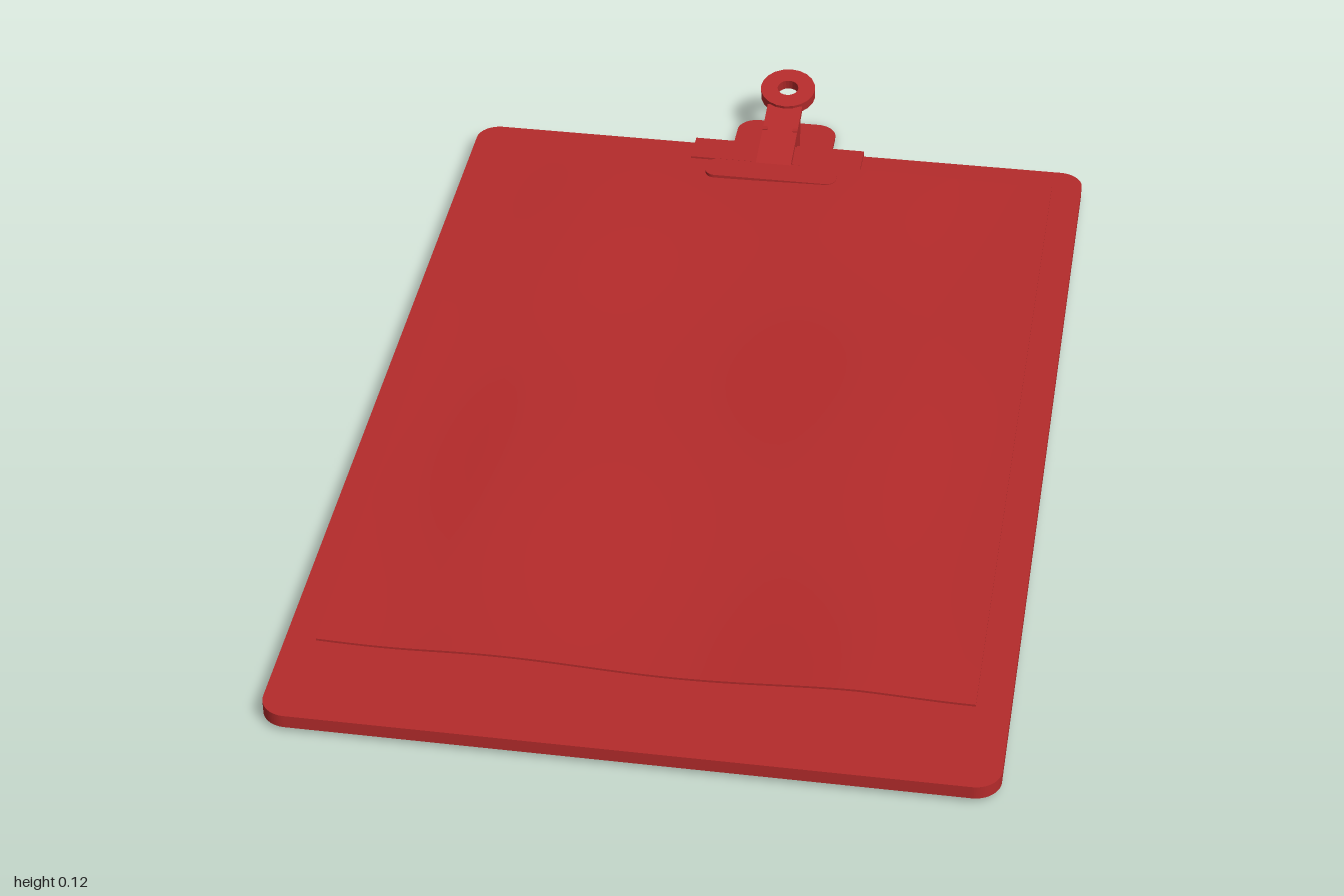
import * as THREE from 'three';

const red = new THREE.MeshStandardMaterial({ color: 0xb52b2b, side: THREE.DoubleSide });

// Rounded rectangle in plan; v runs along -z once the slab is laid flat
function roundedRect(x0, x1, v0, v1, r) {
  const s = new THREE.Shape();
  s.moveTo(x0 + r, v0);
  s.lineTo(x1 - r, v0);
  s.absarc(x1 - r, v0 + r, r, -Math.PI / 2, 0, false);
  s.lineTo(x1, v1 - r);
  s.absarc(x1 - r, v1 - r, r, 0, Math.PI / 2, false);
  s.lineTo(x0 + r, v1);
  s.absarc(x0 + r, v1 - r, r, Math.PI / 2, Math.PI, false);
  s.lineTo(x0, v0 + r);
  s.absarc(x0 + r, v0 + r, r, Math.PI, Math.PI * 1.5, false);
  return s;
}

// Extrude a plan shape upward from height y
function slab(shape, y, depth) {
  const g = new THREE.ExtrudeGeometry(shape, { depth, bevelEnabled: false, curveSegments: 10 });
  return g.rotateX(-Math.PI / 2).translate(0, y, 0);
}

function add(parent, name, geometry) {
  const mesh = new THREE.Mesh(geometry, red);
  mesh.name = name;
  parent.add(mesh);
  return mesh;
}

function box(parent, name, x, y0, y1, z0, z1) {
  const g = new THREE.BoxGeometry(2 * x, y1 - y0, z1 - z0);
  return add(parent, name, g.translate(0, (y0 + y1) / 2, (z0 + z1) / 2));
}

// Thin sheet with soft ripples that fade out at the side edges
function paperGeometry() {
  const g = new THREE.BoxGeometry(1.106, 0.004, 1.56, 40, 1, 48).translate(0, 0, 0.04);
  const p = g.attributes.position;
  for (let i = 0; i < p.count; i++) {
    const x = p.getX(i), z = p.getZ(i);
    const fade = Math.min(1, (0.553 - Math.abs(x)) * 5);
    const along = 0.45 + 0.55 * THREE.MathUtils.smoothstep(z, -0.7, 0.7);
    const wave = 0.0055 * Math.cos((x + 0.25) * 10.1 + 1.2 * (0.82 - z)) * along
      + 0.0025 * Math.sin(z * 7 + x * 3);
    p.setY(i, p.getY(i) + 0.049 + fade * wave);
  }
  g.computeVertexNormals();
  return g;
}

export function createModel() {
  const model = new THREE.Group();
  model.name = 'clipboard';

  add(model, 'board', slab(roundedRect(-0.61, 0.61, -1, 0.822, 0.045), 0.01, 0.024));
  add(model, 'paper', paperGeometry());

  // Bracket wrapped round the top edge of the board
  const clip = new THREE.Group();
  clip.name = 'clip';
  model.add(clip);
  box(clip, 'bracketBase', 0.17, 0.002, 0.01, -0.83, -0.61);
  box(clip, 'bracketBack', 0.17, 0.002, 0.041, -0.83, -0.822);
  box(clip, 'bracketLip', 0.17, 0.034, 0.041, -0.83, -0.76);
  add(clip, 'thumbTab', slab(roundedRect(-0.1, 0.1, 0.79, 0.967, 0.04), 0, 0.008));

  // Hinge uprights and pin
  for (const side of [-1, 1]) {
    const cheek = box(clip, 'hingeCheek', 0.005, 0.005, 0.078, -0.875, -0.825);
    cheek.position.x = side * 0.03;
  }
  box(clip, 'hingeBack', 0.033, 0.005, 0.075, -0.875, -0.867);
  const pin = new THREE.CylinderGeometry(0.009, 0.009, 0.07, 16).rotateZ(Math.PI / 2);
  add(clip, 'hingePin', pin.translate(0, 0.068, -0.85));

  // Tilted lever with a finger ring, pivoted at the ring centre
  const lever = new THREE.Group();
  lever.name = 'lever';
  lever.position.set(0, 0.094, -0.945);
  lever.rotation.x = 0.2;
  clip.add(lever);
  const ring = new THREE.Shape().absarc(0, 0, 0.055, 0, Math.PI * 2, false);
  ring.holes.push(new THREE.Path().absarc(0, 0, 0.021, 0, Math.PI * 2, true));
  add(lever, 'fingerRing', slab(ring, -0.009, 0.021));
  box(lever, 'leverArm', 0.035, -0.006, 0.006, 0.045, 0.245);

  // Flat jaw pressing on the paper
  add(clip, 'jaw', slab(roundedRect(-0.13, 0.13, 0.675, 0.735, 0.02), 0.048, 0.009));

  return model;
}
